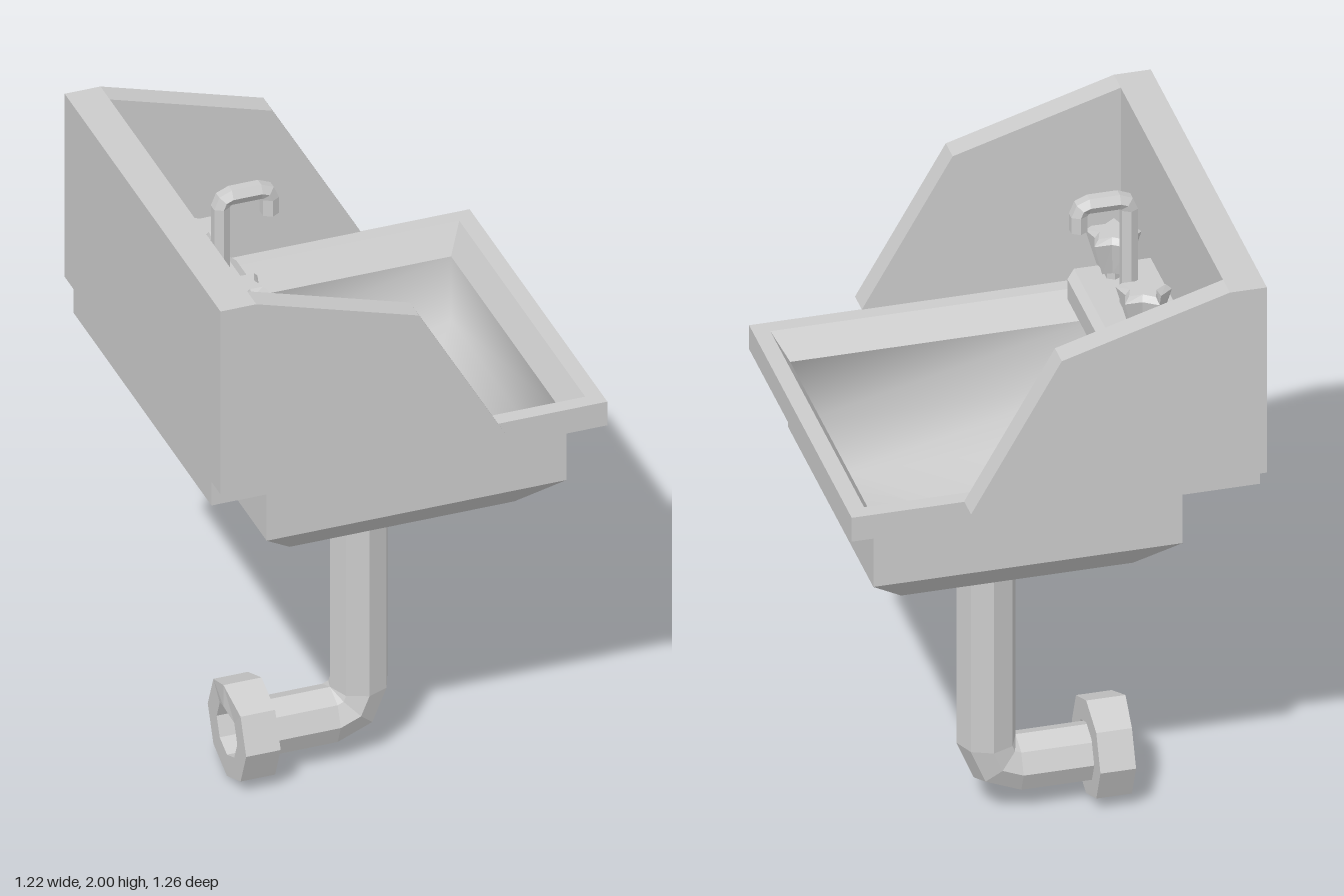
import * as THREE from 'three';
import { mergeVertices } from 'three/addons/utils/BufferGeometryUtils.js';

const flat = new THREE.MeshStandardMaterial({ color: 0xcccccc, flatShading: true });
const open = new THREE.MeshStandardMaterial({ color: 0xcccccc, flatShading: true, side: THREE.DoubleSide });
const smooth = new THREE.MeshStandardMaterial({ color: 0xcccccc });

// Skin a list of rings (each ring counter-clockwise about the direction of travel)
function loft(rings, capStart = false, capEnd = false) {
  const pos = [];
  const tri = (...pts) => pts.forEach((p) => pos.push(p.x, p.y, p.z));
  const n = rings[0].length;
  for (let i = 0; i + 1 < rings.length; i++) {
    for (let j = 0; j < n; j++) {
      const k = (j + 1) % n;
      tri(rings[i][j], rings[i][k], rings[i + 1][k]);
      tri(rings[i][j], rings[i + 1][k], rings[i + 1][j]);
    }
  }
  const cap = (ring, flip) => {
    const c = new THREE.Vector3();
    ring.forEach((p) => c.addScaledVector(p, 1 / n));
    ring.forEach((p, j) => {
      const q = ring[(j + 1) % n];
      if (flip) tri(c, q, p);
      else tri(c, p, q);
    });
  };
  if (capStart) cap(rings[0], true);
  if (capEnd) cap(rings[rings.length - 1], false);
  const g = new THREE.BufferGeometry();
  g.setAttribute('position', new THREE.Float32BufferAttribute(pos, 3));
  g.computeVertexNormals();
  return g;
}

// Horizontal rectangle, symmetric in z
const rect = (x0, x1, z, y) =>
  [[x1, z], [x1, -z], [x0, -z], [x0, z]].map(([x, w]) => new THREE.Vector3(x, y, w));

// Bent pipe: each section is [centre x, centre y, angle of its outer side in degrees]
function pipe(sections, r, sides) {
  return sections.map(([x, y, deg]) => {
    const a = THREE.MathUtils.degToRad(deg);
    return Array.from({ length: sides }, (_, j) => {
      const t = ((j + (sides === 6 ? 0.5 : 0)) / sides) * Math.PI * 2;
      const d = r * Math.cos(t);
      return new THREE.Vector3(x + d * Math.cos(a), y + d * Math.sin(a), r * Math.sin(t));
    });
  });
}

// Sections of a tight elbow turning around a pivot
const elbow = (px, py, r, angles) => angles.map((deg) => {
  const a = THREE.MathUtils.degToRad(deg);
  return [px + r * Math.cos(a), py + r * Math.sin(a), deg];
});

// Five-pointed horizontal star
const star = (r, inner, y) => Array.from({ length: 10 }, (_, j) => {
  const a = -Math.PI / 2 + (j / 10) * Math.PI * 2;
  const d = j % 2 ? inner : r;
  return new THREE.Vector3(d * Math.sin(a), y, d * Math.cos(a));
});

export function createModel() {
  const model = new THREE.Group();
  const add = (name, geometry, material = flat, parent = model) => {
    const m = new THREE.Mesh(geometry, material);
    m.name = name;
    parent.add(m);
    return m;
  };

  // Splashback: back panel and two sloping side panels
  const splashback = new THREE.Group();
  splashback.name = 'splashback';
  model.add(splashback);
  const back = add('backPanel', new THREE.BoxGeometry(0.11, 0.62, 1.11), flat, splashback);
  back.position.set(-0.555, 1.69, 0);
  const profile = new THREE.Shape(
    [[-0.61, 1.38], [0.27, 1.38], [0, 1.85], [-0.5, 2], [-0.61, 2]].map((p) => new THREE.Vector2(...p)));
  for (const [name, z] of [['leftPanel', 0.553], ['rightPanel', -0.628]]) {
    const panel = new THREE.ExtrudeGeometry(profile, { depth: 0.075, bevelEnabled: false });
    add(name, panel, flat, splashback).position.z = z;
  }

  // Rim with its sloping inner lip
  add('rim', loft([
    rect(-0.405, 0.515, 0.46, 1.3),
    rect(-0.61, 0.605, 0.555, 1.3),
    rect(-0.61, 0.605, 0.555, 1.38),
    rect(-0.45, 0.555, 0.507, 1.38),
    rect(-0.4, 0.51, 0.455, 1.3),
  ]));

  // Bowl: faceted outside, smooth inside
  add('bowl', loft([
    rect(0.04, 0.07, 0.015, 0.933),
    rect(-0.29, 0.4, 0.345, 0.965),
    rect(-0.405, 0.515, 0.462, 1.08),
    rect(-0.405, 0.515, 0.462, 1.3),
  ], true));
  const basin = loft([
    rect(-0.4, 0.51, 0.455, 1.3),
    rect(-0.4, 0.51, 0.455, 1.085),
    rect(-0.287, 0.397, 0.342, 0.97),
    rect(0.04, 0.07, 0.015, 0.94),
  ], false, true);
  basin.deleteAttribute('normal');
  const basinSmooth = mergeVertices(basin, 1e-4);
  basinSmooth.computeVertexNormals();
  add('basin', basinSmooth, smooth);

  // Drain pipe with a tight elbow towards the wall
  const r = 0.088;
  add('drainPipe', loft(pipe([
    [0.053, 0.95, 0],
    ...elbow(-0.035, 0.231, r, [0, -45, -90]),
    [-0.27, 0.143, -90],
  ], r, 8)), open);

  // Wall nut: octagonal ring whose top corner sits slightly further back
  const ring = [[0.083, -0.053], [0.155, -0.053], [0.155, 0.053], [0.083, 0.053], [0.083, -0.053]];
  const nut = new THREE.LatheGeometry(ring.map((p) => new THREE.Vector2(...p)), 8);
  nut.rotateZ(Math.PI / 2).translate(-0.298, 0.155, 0);
  const p = nut.attributes.position;
  for (let i = 0; i < p.count; i++) {
    if (p.getX(i) < -0.3 && p.getY(i) > 0.225 && Math.abs(p.getZ(i)) < 0.01) p.setX(i, -0.362);
  }
  add('wallNut', nut, open);

  // Tap: bevelled block, spout and two star knobs
  const tap = new THREE.Group();
  tap.name = 'tap';
  model.add(tap);
  const slab = (x, y0, y1, z) =>
    [[y0, -z], [y1, -z], [y1, z], [y0, z]].map(([y, w]) => new THREE.Vector3(x, y, w));
  add('tapBlock', loft([
    slab(-0.505, 1.52, 1.618, 0.23),
    slab(-0.272, 1.52, 1.618, 0.23),
    slab(-0.245, 1.537, 1.603, 0.203),
  ], true, true), flat, tap);

  const s = 0.028;
  const spout = loft(pipe([
    [-0.373, 1.6, 180],
    ...elbow(-0.343, 1.938, 0.03, [180, 135, 90]),
    ...elbow(-0.253, 1.938, 0.03, [90, 45, 0]),
    [-0.223, 1.885, 0],
  ], s, 6), true, true);
  add('spout', spout, flat, tap).position.z = 0.005;

  for (const [side, z] of [['left', 0.165], ['right', -0.165]]) {
    const stem = new THREE.CylinderGeometry(0.025, 0.025, 0.06, 6);
    add(side + 'Stem', stem, flat, tap).position.set(-0.37, 1.635, z);
    const knob = loft([
      star(0.05, 0.033, 1.645),
      star(0.085, 0.054, 1.752),
      star(0.066, 0.04, 1.77),
    ], true, true);
    add(side + 'Knob', knob, flat, tap).position.set(-0.37, 0, z);
  }
  return model;
}
